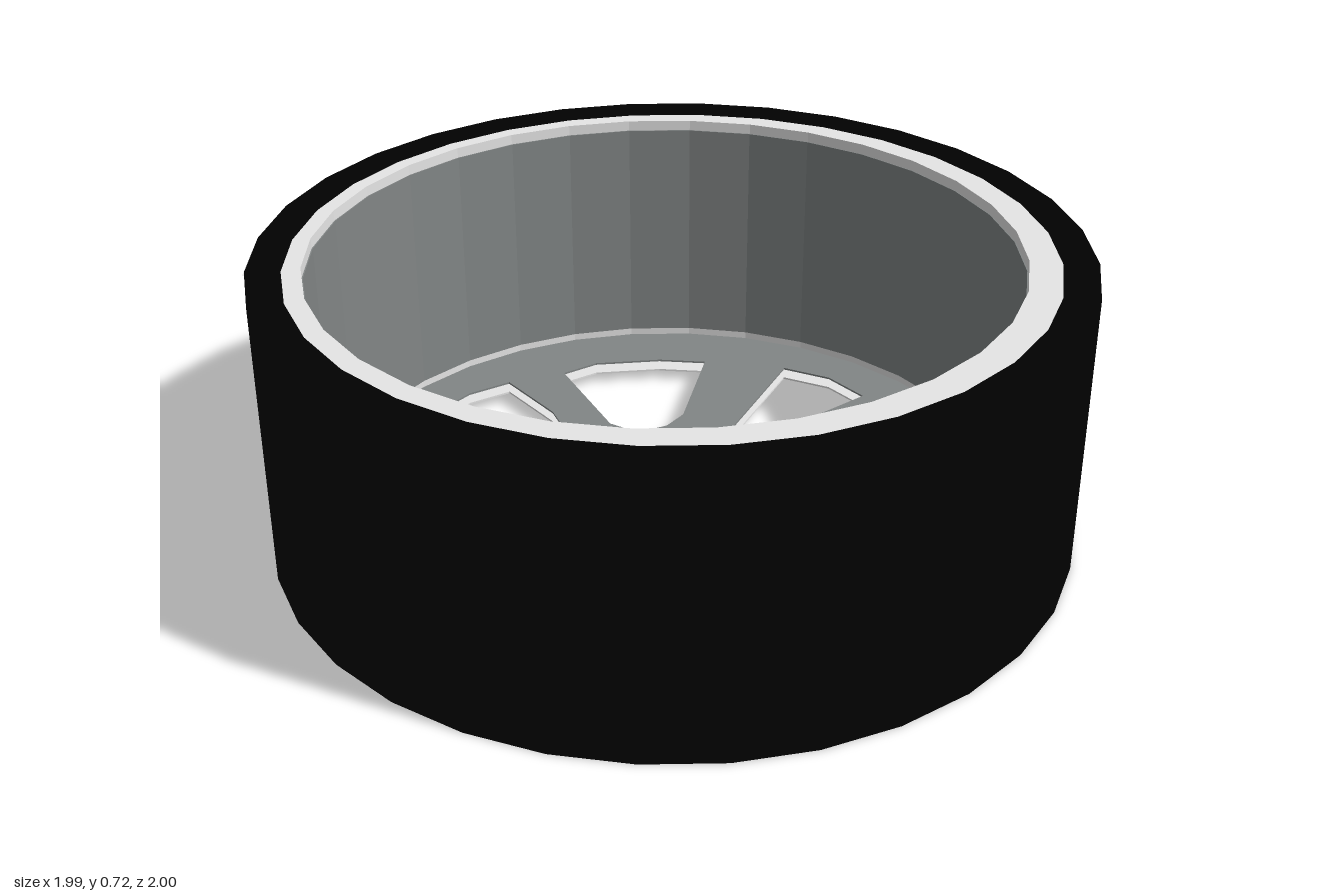
import * as THREE from 'three';

const SIDES = 32;
const HUB_Z = -0.02; // the wheel disc sits slightly off the tyre centre

const v2 = (list) => list.map(([x, y]) => new THREE.Vector2(x, y));

// Faceted ring from a (radius, height) profile
function ring(profile, segments = SIDES, start = 0, length = Math.PI * 2) {
  const geo = new THREE.LatheGeometry(v2(profile), segments, start, length).toNonIndexed();
  geo.computeVertexNormals();
  return geo;
}

function circlePoints(r, dy = 0) {
  return Array.from({ length: SIDES }, (_, i) => {
    const a = (i / SIDES) * Math.PI * 2;
    return new THREE.Vector2(r * Math.cos(a), r * Math.sin(a) + dy);
  });
}

// Flat plate with holes, lying between heights y0 and y1
function plate(outline, holes, y0, y1) {
  const shape = new THREE.Shape(outline);
  shape.holes = holes.map((h) => new THREE.Path(h));
  const geo = new THREE.ExtrudeGeometry(shape, { depth: y1 - y0, bevelEnabled: false });
  geo.rotateX(-Math.PI / 2);
  geo.translate(0, y0, 0);
  return geo;
}

export function createModel() {
  const group = new THREE.Group();
  const material = (name, color) => {
    const m = new THREE.MeshStandardMaterial({ color });
    m.name = name;
    return m;
  };
  const rubber = material('black rubber', 0x010101);
  const silver = material('light silver', 0xe6e6e6);
  const grey = material('alloy grey', 0x828686);

  const add = (name, geo, mat, z = 0) => {
    const mesh = new THREE.Mesh(geo, mat);
    mesh.name = name;
    mesh.position.z = z;
    group.add(mesh);
  };

  // Tyre band
  add('tyre', ring([[0.912, 0], [0.995, 0], [0.995, 0.72], [0.912, 0.72], [0.912, 0]]), rubber, 0.002);

  // Light quarter panel wrapped around the back of the tyre
  add('backPanel', ring(
    [[0.985, 0.04], [0.999, 0.04], [0.999, 0.71], [0.985, 0.71]],
    8, Math.PI * 0.75, Math.PI * 0.5), silver);

  // Rim barrel with its offset bore, and the thin grey edge below it
  add('rim', plate(circlePoints(0.912), [circlePoints(0.852, -HUB_Z)], 0.03, 0.717), silver);
  add('rimEdge', ring([[0.906, 0.04], [0.906, 0.006], [0.915, 0.006]]), grey);

  // Grey lining of the bore, leaving light lips above and below
  add('rimLining', ring([[0.852, 0.69], [0.849, 0.69], [0.849, 0.08], [0.852, 0.08]]), grey, HUB_Z);

  // Spoke windows: narrow front/back, narrow sides, wide diagonals
  const frontWindow = [[0.165, 0.685], [0.05, 0.727], [-0.05, 0.727], [-0.165, 0.685],
    [-0.113, 0.478], [0, 0.287], [0.113, 0.478]];
  const sideWindow = [[0.705, 0.132], [0.735, 0], [0.705, -0.132],
    [0.345, -0.047], [0.322, 0], [0.345, 0.047]];
  const diagonalWindow = [[0.3, 0.6], [0.4, 0.567], [0.528, 0.439], [0.597, 0.33],
    [0.32, 0.193], [0.245, 0.19], [0.17, 0.228], [0.16, 0.316]];
  const windows = [];
  for (const s of [1, -1]) {
    windows.push(v2(frontWindow.map(([x, y]) => [x, s * y])));
    windows.push(v2(sideWindow.map(([x, y]) => [s * x, y])));
    for (const t of [1, -1]) windows.push(v2(diagonalWindow.map(([x, y]) => [s * x, t * y])));
  }

  // Two spoke plates: silver outside, grey inside
  add('outerSpokePlate', plate(circlePoints(0.88), windows, 0.025, 0.03), silver, HUB_Z);
  add('innerSpokePlate', plate(circlePoints(0.852), windows, 0.055, 0.06), grey, HUB_Z);

  return group;
}
